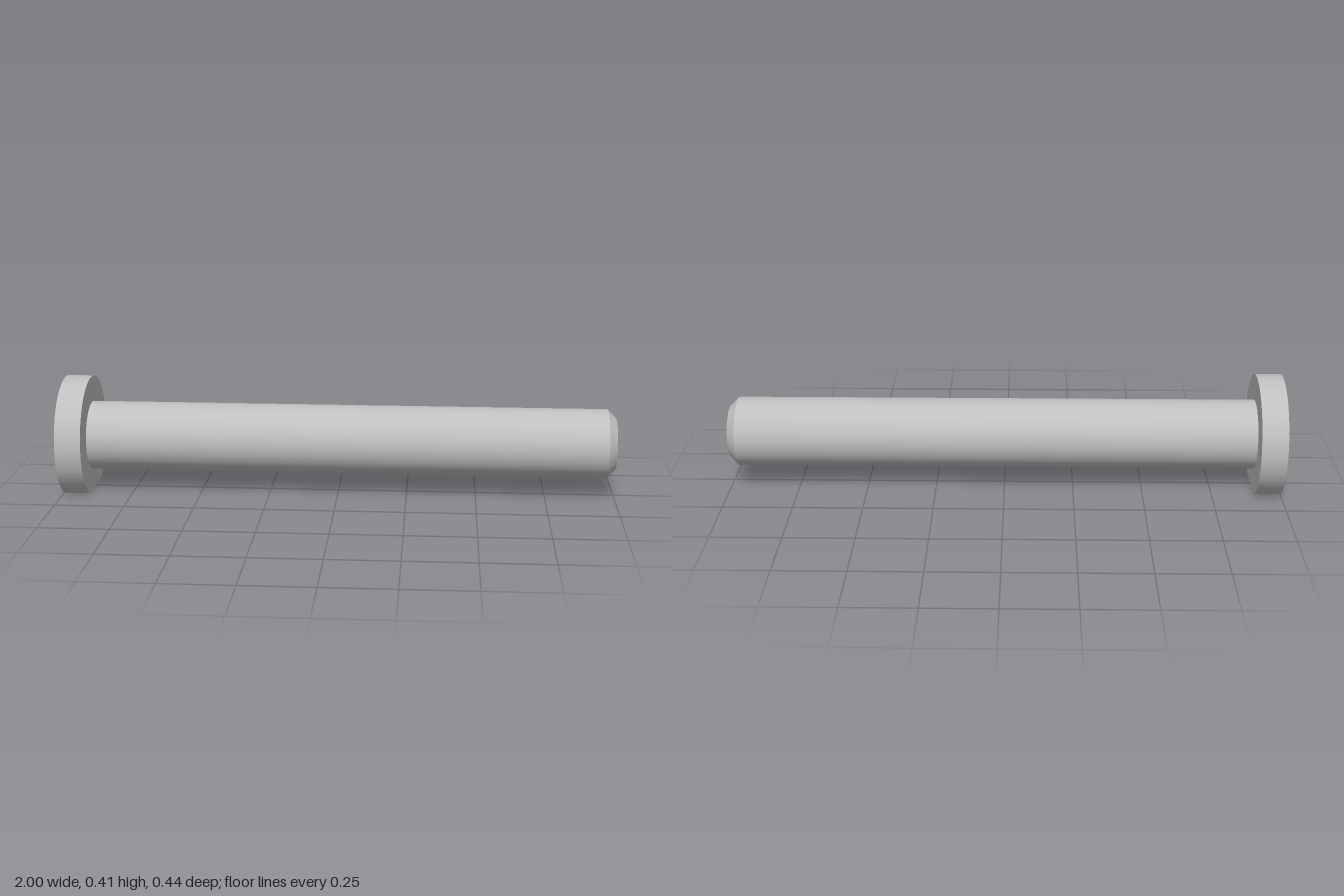
import * as THREE from 'three';
import { toCreasedNormals } from 'three/addons/utils/BufferGeometryUtils.js';

const AXIS_Y = 0.194;   // height of the pin axis
const HEAD_R = 0.2185;
const SHANK_R = 0.125;
const TIP_R = 0.094;
const X_HEAD = -1, X_SHOULDER = -0.906, X_CHAMFER = 0.969, X_TIP = 1;

export function createModel() {
  const group = new THREE.Group();
  group.name = 'clevisPin';
  const steel = new THREE.MeshStandardMaterial({ color: 0xbfbfbf });
  steel.name = 'steel grey';

  const add = (name, geometry) => {
    const mesh = new THREE.Mesh(geometry, steel);
    mesh.name = name;
    group.add(mesh);
  };

  // Open tapered or straight section running along x
  const section = (x0, x1, r0, r1) =>
    new THREE.CylinderGeometry(r1, r0, x1 - x0, 96, 1, true)
      .rotateZ(-Math.PI / 2)
      .translate((x0 + x1) / 2, AXIS_Y, 0);

  // Head: disc with a flat cut along the bottom
  const cut = Math.acos(AXIS_Y / HEAD_R);
  const outline = new THREE.Shape();
  outline.absarc(0, 0, HEAD_R, -Math.PI / 2 + cut, Math.PI * 1.5 - cut, false);
  outline.closePath();
  const head = new THREE.ExtrudeGeometry(outline, {
    depth: X_SHOULDER - X_HEAD, bevelEnabled: false, curveSegments: 96,
  });
  head.rotateY(Math.PI / 2).translate(X_HEAD, AXIS_Y, 0);
  add('head', toCreasedNormals(head, 0.3));

  // Shank, chamfer and flat tip
  add('shank', section(X_SHOULDER, X_CHAMFER, SHANK_R, SHANK_R));
  add('chamfer', section(X_CHAMFER, X_TIP, SHANK_R, TIP_R));
  add('tip', new THREE.CircleGeometry(TIP_R, 96)
    .rotateY(Math.PI / 2).translate(X_TIP, AXIS_Y, 0));

  return group;
}
